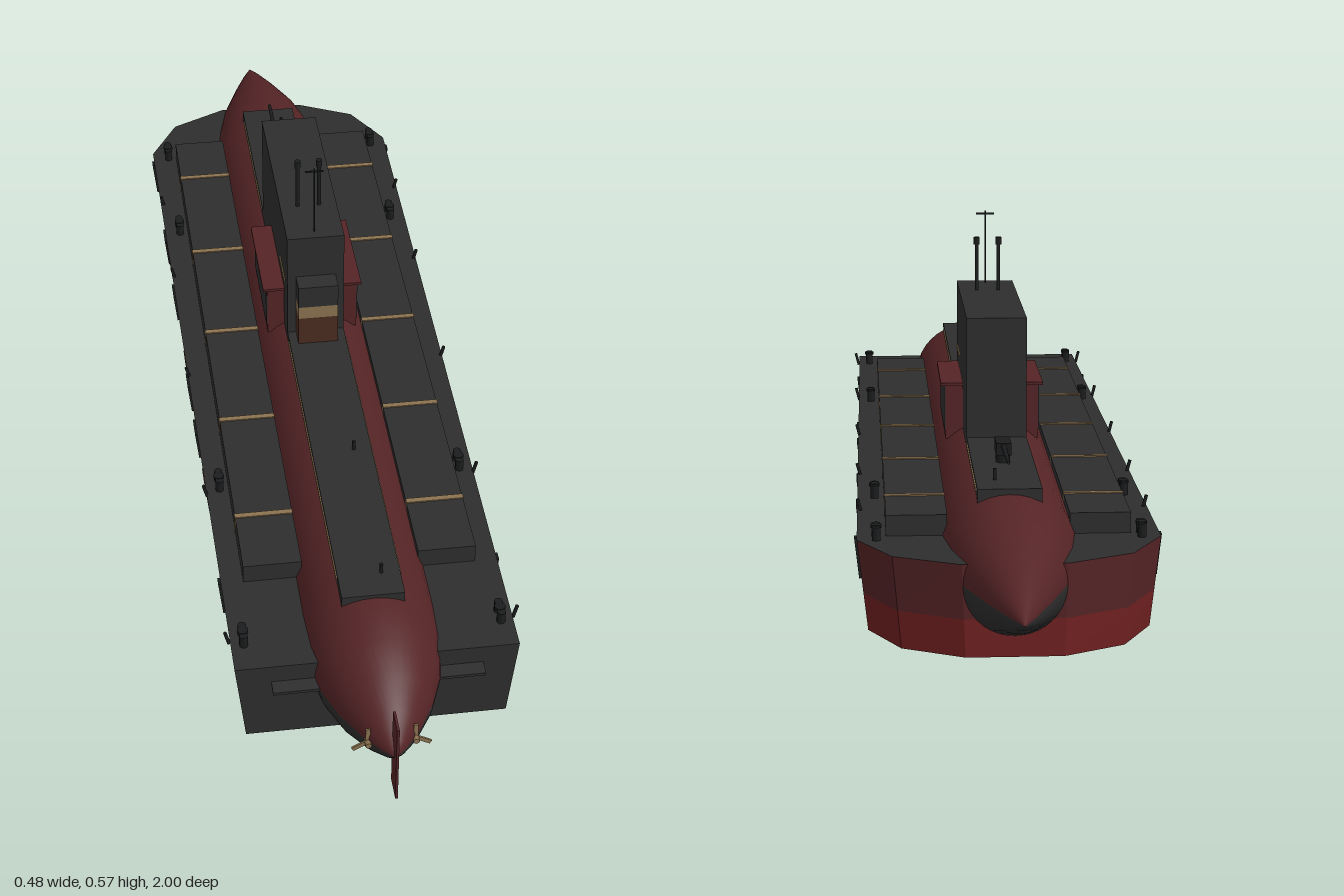
import * as THREE from 'three';

const mat = (name, color) => {
  const m = new THREE.MeshStandardMaterial({ color, side: THREE.DoubleSide });
  m.name = name;
  return m;
};

export function createModel() {
  const dark = mat('charcoal', 0x2e2e2e);
  const maroon = mat('maroon', 0x552426);
  const red = mat('bottom red', 0x702020);
  const rust = mat('rust brown', 0x4c2d22);
  const gold = mat('dull brass', 0x8c7350);
  const black = mat('black', 0x1b1c1d);
  const group = new THREE.Group();
  group.name = 'submarine';

  const add = (name, geo, m, x = 0, y = 0, z = 0) => {
    const mesh = new THREE.Mesh(geo, m);
    mesh.name = name;
    mesh.position.set(x, y, z);
    group.add(mesh);
    return mesh;
  };
  // box given by its limits
  const box = (name, m, x0, x1, y0, y1, z0, z1) =>
    add(name, new THREE.BoxGeometry(Math.abs(x1 - x0), y1 - y0, z1 - z0), m, (x0 + x1) / 2, (y0 + y1) / 2, (z0 + z1) / 2);
  const post = (name, m, r, x, y0, y1, z, sides = 10) =>
    add(name, new THREE.CylinderGeometry(r, r, y1 - y0, sides), m, x, (y0 + y1) / 2, z);

  // Broad outer hull: horizontal bands over one outline, narrower at the keel
  const TOP = 0.155, WATER = 0.07, KEEL = 0.011;
  const half = [[0.225, 0.805], [0.235, -0.65], [0.182, -0.745], [0.08, -0.795]];
  const outline = (y) => {
    const k = 0.93 + 0.07 * (y - KEEL) / (TOP - KEEL);
    const right = half.map(([x, z]) => [x * k, y, z]);
    return [...right, ...right.map(([x, yy, z]) => [-x, yy, z]).reverse()];
  };
  const band = (name, m, y0, y1, from, to) => {
    const a = outline(y0), b = outline(y1), v = [];
    for (let i = from; i < to; i++) {
      const j = (i + 1) % a.length;
      v.push(...a[i], ...a[j], ...b[j], ...a[i], ...b[j], ...b[i]);
    }
    const g = new THREE.BufferGeometry();
    g.setAttribute('position', new THREE.Float32BufferAttribute(v, 3));
    g.computeVertexNormals();
    add(name, g, m);
  };
  band('hullUpperSides', maroon, WATER, TOP, 0, 7);
  band('hullLowerSides', red, KEEL, WATER, 0, 7);
  band('hullStern', dark, KEEL, TOP, 7, 8);
  const cap = (y, s) => new THREE.ShapeGeometry(new THREE.Shape(outline(y).map(([x, , z]) => new THREE.Vector2(x, s * z))));
  add('hullDeck', cap(TOP, -1).rotateX(-Math.PI / 2), dark, 0, TOP, 0);
  add('hullBottom', cap(KEEL, 1).rotateX(Math.PI / 2), rust, 0, KEEL, 0);

  // Round inner hull, split at mid height into two colours
  const profile = [[0, -1], [0.02, -0.955], [0.047, -0.885], [0.08, -0.79], [0.098, -0.71], [0.109, -0.62], [0.109, 0.7],
    [0.106, 0.77], [0.095, 0.83], [0.074, 0.885], [0.045, 0.935], [0.02, 0.967], [0, 0.985]]
    .map(([r, z]) => new THREE.Vector2(r, z));
  const halfHull = (start) => new THREE.LatheGeometry(profile, 20, start, Math.PI).rotateX(Math.PI / 2);
  add('innerHullTop', halfHull(Math.PI / 2), maroon, 0, 0.122, 0);
  add('innerHullBottom', halfHull(-Math.PI / 2), dark, 0, 0.122, 0);

  // Deck casing with brass rails along its edges
  box('deckCasing', dark, -0.05, 0.05, 0.205, 0.235, -0.66, 0.75);
  for (const s of [-1, 1])
    for (const [z0, z1] of [[-0.63, -0.33], [0.09, 0.7]])
      box('casingRail', gold, s * 0.049, s * 0.052, 0.225, 0.23, z0, z1);

  // Tower, front step and side shelters
  box('tower', dark, -0.05, 0.05, 0.23, 0.437, -0.31, 0.07);
  box('towerStep', rust, -0.035, 0.035, 0.23, 0.29, 0.06, 0.105);
  box('towerStepBand', gold, -0.035, 0.035, 0.29, 0.314, 0.06, 0.105);
  box('towerStepTop', dark, -0.035, 0.035, 0.314, 0.356, 0.06, 0.105);
  for (const s of [-1, 1]) {
    box('shelter', maroon, s * 0.045, s * 0.08, 0.2, 0.295, -0.165, 0.02);
    box('shelterSide', dark, s * 0.08, s * 0.082, 0.215, 0.295, -0.163, 0.018);
    box('shelterRoof', maroon, s * 0.045, s * 0.088, 0.294, 0.299, -0.17, 0.025);
    box('towerStripe', gold, s * 0.05, s * 0.052, 0.32, 0.327, -0.035, 0.035);
    // twin masts with thicker heads
    post('mast', black, 0.0035, s * 0.019, 0.437, 0.52, -0.03);
    post('mastHead', black, 0.0055, s * 0.019, 0.518, 0.531, -0.03);
  }
  post('aerial', black, 0.0015, 0, 0.437, 0.567, 0.05, 6);
  box('aerialBar', black, -0.016, 0.016, 0.56, 0.563, 0.049, 0.051);

  // Deck gun
  post('gunBase', black, 0.012, 0, 0.235, 0.255, -0.48);
  box('gunBody', black, -0.012, 0.012, 0.25, 0.27, -0.505, -0.455);
  const barrel = add('gunBarrel', new THREE.CylinderGeometry(0.003, 0.005, 0.13, 8), black, 0, 0.266, -0.56);
  barrel.rotation.x = -Math.PI / 2 + 0.03;

  // Small deck posts
  for (const z of [-0.6, 0.4, 0.7]) post('deckPost', black, 0.003, 0.02, 0.235, 0.253, z, 6);

  for (const s of [-1, 1]) {
    // Long side lockers with brass straps
    box('sideLocker', dark, s * 0.095, s * 0.19, 0.15, 0.188, -0.63, 0.61);
    for (let i = 0; i < 5; i++) {
      const z = -0.507 + i * 0.249;
      box('lockerStrap', gold, s * 0.095, s * 0.191, 0.156, 0.19, z - 0.005, z + 0.005);
    }
    // Bollards in pairs and edge stanchions
    for (const z of [0.74, 0.37, -0.38, -0.64]) {
      for (const d of [-0.012, 0.012]) post('bollard', black, 0.007, s * 0.205, 0.15, 0.176, z + d);
      post('bollardCap', black, 0.009, s * 0.205, 0.172, 0.177, z);
    }
    for (const z of [0.74, 0.39, 0.07, -0.23, -0.47]) {
      const p = post('stanchion', black, 0.003, s * 0.23, 0.15, 0.174, z, 6);
      p.rotation.z = -s * 0.25;
    }
    // Patches and fenders, leaning with the hull side
    const patch = (name, m, y, h, z, w, out) => {
      const k = 0.93 + 0.07 * (y - KEEL) / (TOP - KEEL);
      const x = (0.225 + 0.01 * (0.805 - z) / 1.455) * k;
      add(name, new THREE.BoxGeometry(out, h, w), m, s * x, y, z).rotation.z = -s * 0.11;
    };
    for (const z of [0.33, 0, -0.34]) patch('rustPatch', rust, 0.085, 0.12, z, 0.035, 0.003);
    for (const z of [0.2, 0.07, -0.2, -0.38]) patch('fender', black, 0.117, 0.055, z, 0.04, 0.008);
    patch('edgeFender', black, 0.12, 0.065, 0.6, 0.015, 0.009);
    patch('edgeFender', black, 0.12, 0.065, -0.62, 0.015, 0.009);

    // Stern planes
    box('sternPlane', dark, s * 0.09, s * 0.168, 0.118, 0.123, 0.79, 0.83);

    // Three-bladed propellers
    const prop = new THREE.Group();
    prop.name = 'propeller';
    prop.position.set(s * 0.037, 0.12, 0.945);
    const hub = new THREE.Mesh(new THREE.CylinderGeometry(0.005, 0.005, 0.02, 8).rotateX(Math.PI / 2), gold);
    hub.name = 'propellerHub';
    prop.add(hub);
    for (let i = 0; i < 3; i++) {
      const blade = new THREE.Mesh(new THREE.BoxGeometry(0.007, 0.027, 0.003).translate(0, 0.0135, 0), gold);
      blade.name = 'propellerBlade';
      blade.rotation.z = i * Math.PI * 2 / 3;
      prop.add(blade);
    }
    group.add(prop);
  }

  // Rudder and lower skeg
  box('rudder', maroon, -0.002, 0.002, 0.048, 0.196, 0.96, 1);
  box('skeg', dark, -0.004, 0.004, 0.005, 0.06, 0.8, 0.85);

  // Red patches under the flat bottom
  for (const [x, z] of [[-0.06, 0.4], [0.05, 0.3], [-0.02, 0.2], [0.03, -0.5]])
    add('bottomPatch', new THREE.CylinderGeometry(0.05, 0.05, 0.003, 12), red, x, 0.0105, z);
  for (let i = 0; i < 4; i++) box('bottomFitting', black, -0.03, 0.03, 0.003, 0.011, 0.2 + i * 0.065, 0.21 + i * 0.065);
  box('bottomFitting', black, -0.003, 0.003, 0, 0.011, 0.3, 0.33);

  return group;
}
